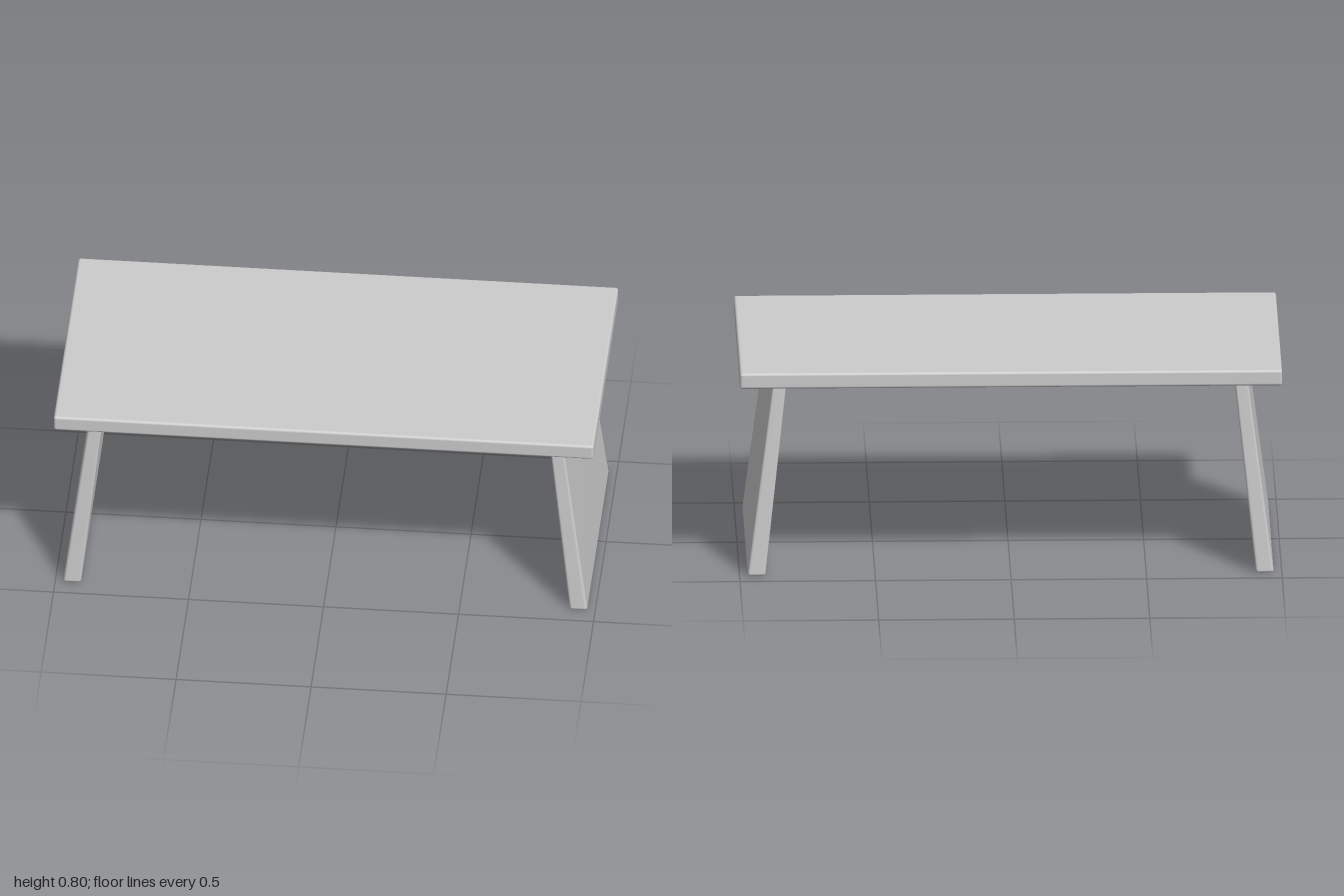
import * as THREE from 'three';
import { RoundedBoxGeometry } from 'three/addons/geometries/RoundedBoxGeometry.js';
import { mergeVertices } from 'three/addons/utils/BufferGeometryUtils.js';

const { lerp } = THREE.MathUtils;

// Rounded slab, splayed outwards and widening towards the floor
function legGeometry(height) {
  let geo = new RoundedBoxGeometry(1, height, 1, 3, 0.01);
  geo = new RoundedBoxGeometry(0.06, height, 0.83, 3, 0.01);
  geo.translate(0, height / 2, 0);
  const pos = geo.attributes.position;
  for (let i = 0; i < pos.count; i++) {
    const t = pos.getY(i) / height;
    pos.setX(i, lerp(0.938, 0.849, t) + pos.getX(i) * lerp(0.066, 0.05, t) / 0.06);
    pos.setZ(i, pos.getZ(i) * lerp(0.87, 0.79, t) / 0.83);
  }
  // Weld so that the rounded edges shade smoothly after the reshaping
  geo.deleteAttribute('normal');
  geo.deleteAttribute('uv');
  geo = mergeVertices(geo, 1e-5);
  geo.computeVertexNormals();
  return geo;
}

export function createModel() {
  const model = new THREE.Group();
  model.name = 'table';
  const material = new THREE.MeshStandardMaterial({ color: 0xcccccc });

  // Table top
  const top = new THREE.Mesh(new RoundedBoxGeometry(2, 0.06, 1, 3, 0.01), material);
  top.name = 'tableTop';
  top.position.y = 0.77;
  model.add(top);

  // Panel legs, one at each end
  const geo = legGeometry(0.75);
  for (const [name, turn] of [['leftLeg', 0], ['rightLeg', Math.PI]]) {
    const leg = new THREE.Mesh(geo, material);
    leg.name = name;
    leg.rotation.y = turn;
    model.add(leg);
  }
  return model;
}
